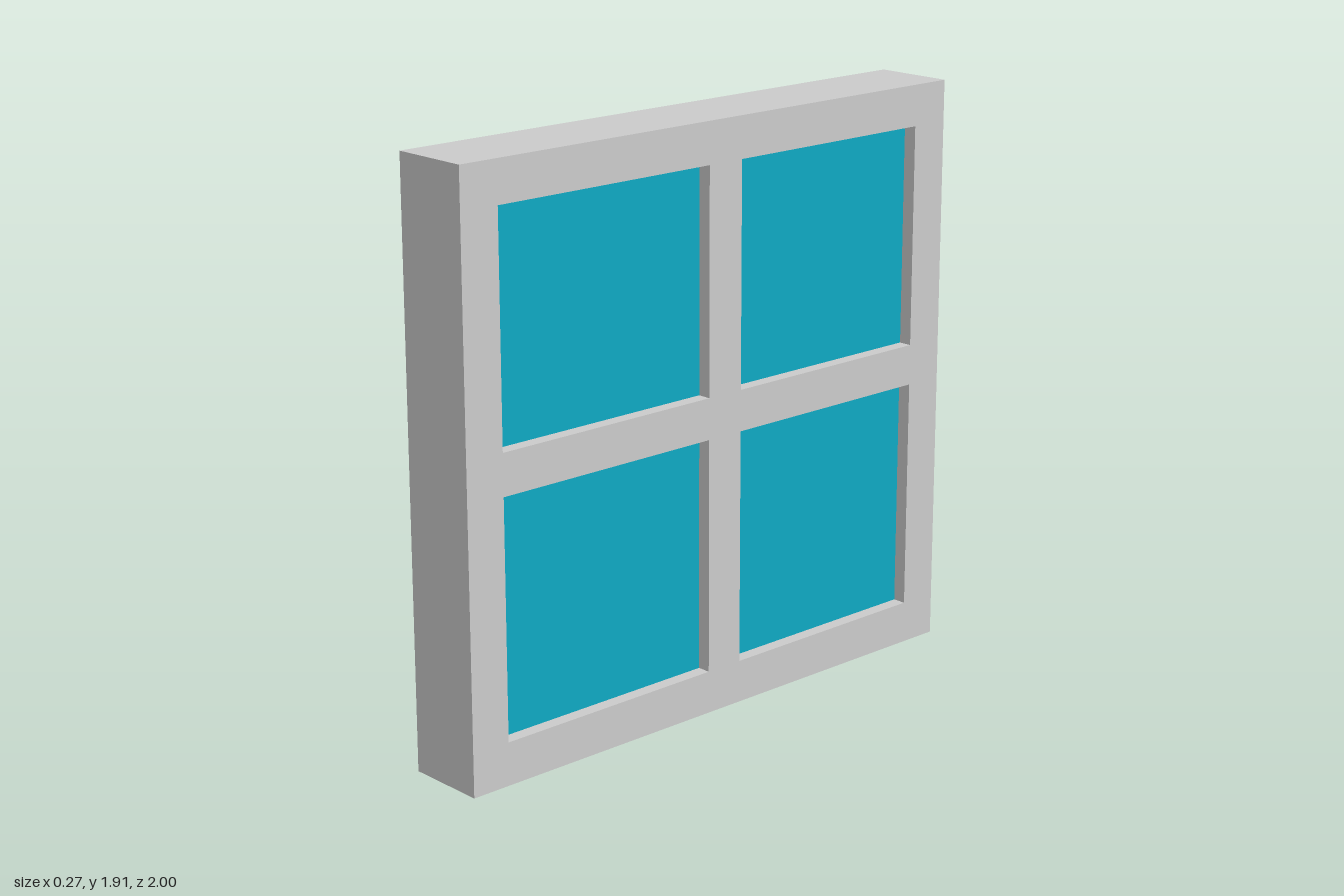
import * as THREE from 'three';

const THICKNESS = 0.27;
const PANE_THICKNESS = 0.18;
const HEIGHT = 1.91;
// Openings as [min, max] along z and y
const COLUMNS = [[-0.865, -0.09], [0.045, 0.865]];
const ROWS = [[0.14, 0.91], [1.045, 1.775]];

// Closed rectangular outline; u runs towards -z after the frame is turned
function rectangle(Type, u0, u1, v0, v1) {
  const path = new Type();
  path.moveTo(u0, v0);
  path.lineTo(u1, v0);
  path.lineTo(u1, v1);
  path.lineTo(u0, v1);
  path.closePath();
  return path;
}

export function createModel() {
  const model = new THREE.Group();
  model.name = 'window';
  const frameMaterial = new THREE.MeshStandardMaterial({ color: 0xcccccc });
  const glassMaterial = new THREE.MeshStandardMaterial({ color: 0x0faac4 });

  const outline = rectangle(THREE.Shape, -1, 1, 0, HEIGHT);
  const panes = new THREE.Group();
  panes.name = 'panes';

  for (const [z0, z1] of COLUMNS) {
    for (const [y0, y1] of ROWS) {
      outline.holes.push(rectangle(THREE.Path, -z1, -z0, y0, y1));

      // Pane filling the opening, recessed on both sides
      const pane = new THREE.Mesh(
        new THREE.BoxGeometry(PANE_THICKNESS, y1 - y0, z1 - z0), glassMaterial);
      pane.name = 'pane';
      pane.position.set(0, (y0 + y1) / 2, (z0 + z1) / 2);
      panes.add(pane);
    }
  }

  // Frame with crossbars, extruded through its thickness along x
  const frameGeometry = new THREE.ExtrudeGeometry(outline, { depth: THICKNESS, bevelEnabled: false });
  frameGeometry.translate(0, 0, -THICKNESS / 2);
  frameGeometry.rotateY(Math.PI / 2);
  const frame = new THREE.Mesh(frameGeometry, frameMaterial);
  frame.name = 'frame';

  model.add(frame, panes);
  return model;
}
